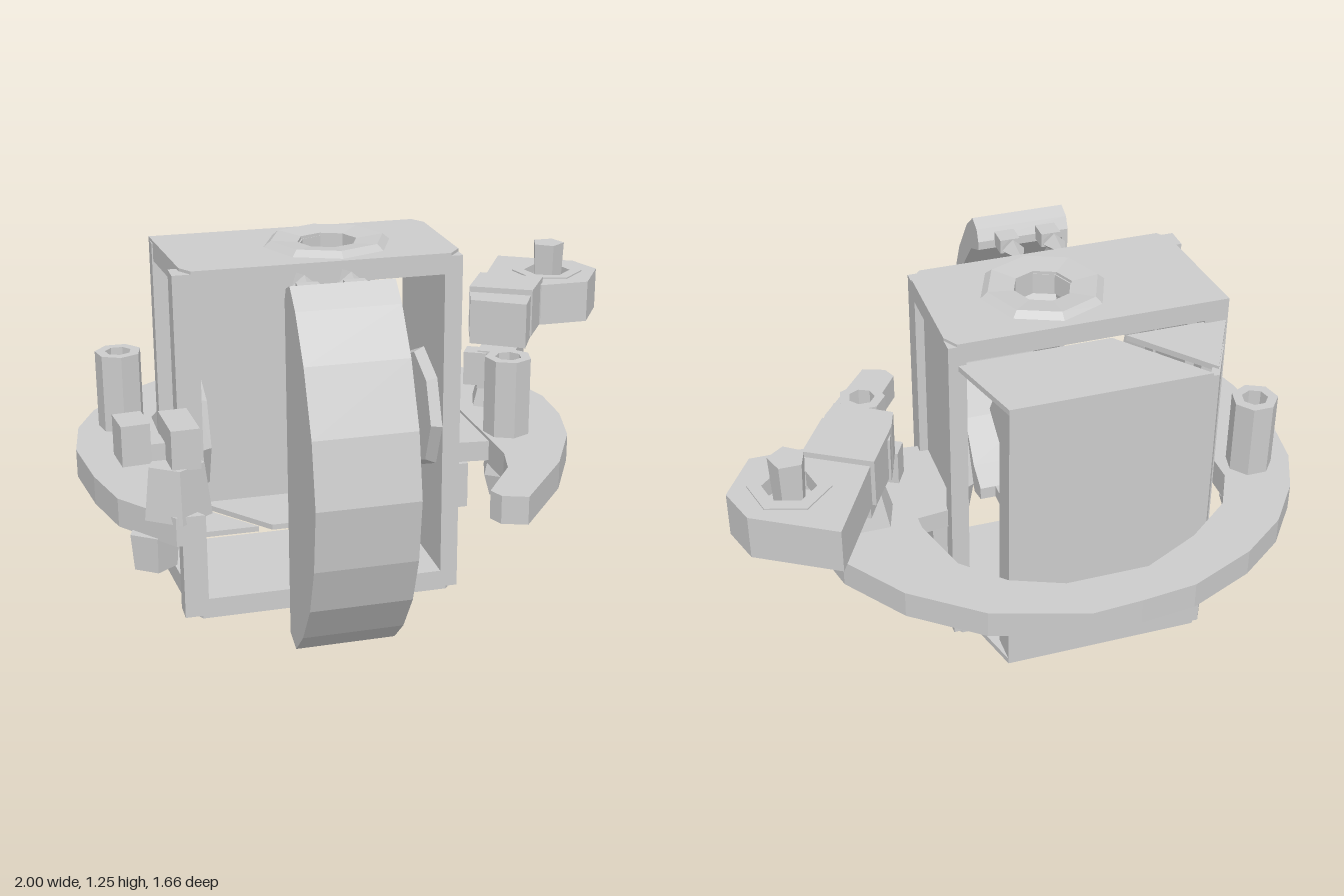
import * as THREE from 'three';

const grey = new THREE.MeshStandardMaterial({ color: 0xcccccc, flatShading: true, side: THREE.DoubleSide });

export function createModel() {
  const root = new THREE.Group();

  function add(name, geo, x = 0, y = 0, z = 0, rx = 0, ry = 0, rz = 0) {
    const m = new THREE.Mesh(geo, grey);
    m.name = name;
    m.position.set(x, y, z);
    m.rotation.set(rx, ry, rz);
    root.add(m);
    return m;
  }
  // Box from its limits
  const block = (name, x0, x1, y0, y1, z0, z1) =>
    add(name, new THREE.BoxGeometry(x1 - x0, y1 - y0, z1 - z0), (x0 + x1) / 2, (y0 + y1) / 2, (z0 + z1) / 2);

  const polygon = (r, n, cx, cz, turn = 0) => Array.from({ length: n }, (_, i) => {
    const a = turn + i / n * Math.PI * 2;
    return [cx + r * Math.cos(a), cz + r * Math.sin(a)];
  });
  // Horizontal plate from an outline of [x, z] pairs
  function plate(name, outline, y0, y1, hole) {
    const toV = ([x, z]) => new THREE.Vector2(x, -z);
    const s = new THREE.Shape(outline.map(toV));
    if (hole) s.holes.push(new THREE.Path(hole.map(toV)));
    const g = new THREE.ExtrudeGeometry(s, { depth: y1 - y0, bevelEnabled: false });
    g.rotateX(-Math.PI / 2);
    return add(name, g, 0, y0, 0);
  }
  // Upright slab from an outline of [z, y] pairs, between two x limits
  function slab(name, outline, x0, x1) {
    const s = new THREE.Shape(outline.map(([z, y]) => new THREE.Vector2(z, y)));
    const g = new THREE.ExtrudeGeometry(s, { depth: x1 - x0, bevelEnabled: false });
    g.rotateY(-Math.PI / 2);
    return add(name, g, x1, 0, 0);
  }

  // Housing: end plates with a tapered collar round an opening
  const hole = polygon(0.1, 8, -0.14, 0.015);
  const deck = [[-0.7, -0.23], [0.22, -0.23], [0.25, -0.18], [0.25, 0.2], [0.21, 0.25], [-0.64, 0.25], [-0.67, 0.2]];
  plate('topPlate', deck, 1.16, 1.23, hole);
  plate('bottomPlate', deck, 0.03, 0.1, hole);
  const collar = [[0.22, 0.6], [0.19, 0.625], [0.1, 0.615], [0.1, 0.53]].map(p => new THREE.Vector2(...p));
  for (const turn of [0, Math.PI])
    add('collar', new THREE.LatheGeometry(collar, 8), -0.145, 0.625, 0.015, turn);

  // Corner posts, side walls and side ledges
  for (const [z0, z1] of [[0.17, 0.25], [-0.23, -0.17]]) {
    block('cornerPost', -0.7, -0.62, 0.04, 1.22, z0, z1);
    block('cornerPost', 0.19, 0.25, 0.04, 1.22, z0, z1);
  }
  block('leftWall', 0.19, 0.22, 0.09, 1.17, -0.2, 0.22);
  block('rightWall', -0.66, -0.63, 0.09, 1.17, -0.08, 0.22);
  block('leftLedge', 0.22, 0.3, 0.31, 0.47, -0.17, 0.2);
  block('rightLedge', -0.74, -0.65, 0.31, 0.47, -0.06, 0.2);
  for (const x of [0.175, -0.61])
    add('sideDisc', new THREE.CylinderGeometry(0.2, 0.22, 0.04, 8), x, 0.63, 0.03, 0, 0, x > 0 ? Math.PI / 2 : -Math.PI / 2);

  // Rear shell: back wall with short flanks, open towards the posts
  const rear = [[0.14, -0.51], [-0.55, -0.51], [-0.635, -0.35], [-0.615, -0.34], [-0.53, -0.49], [0.12, -0.49], [0.12, -0.41], [0.14, -0.41]];
  plate('rearShell', rear, 0.12, 1.14);
  for (const y of [0.11, 1.13]) {
    plate('rearCover', [[-0.53, -0.51], [0.14, -0.51], [0.22, -0.22], [-0.3, -0.22]], y, y + 0.02);
    plate('rearCoverCorner', [[-0.56, -0.48], [-0.7, -0.22], [-0.35, -0.22]], y, y + 0.02);
  }

  // Bowed front guard and its side web
  const outer = [[0.46, 1.18], [0.48, 1.22], [0.53, 1.24], [0.6, 1.18], [0.7, 1.04], [0.79, 0.84], [0.83, 0.63],
    [0.8, 0.42], [0.74, 0.26], [0.64, 0.12], [0.54, 0.03], [0.46, 0.05]];
  const inner = [[0.46, 0.1], [0.55, 0.15], [0.66, 0.3], [0.75, 0.45], [0.78, 0.63], [0.75, 0.82], [0.66, 0.98], [0.55, 1.11], [0.46, 1.15]];
  slab('frontGuard', [...outer, ...inner], -0.39, -0.06);
  slab('guardWeb', outer, -0.39, -0.37);
  for (const s of [1, -1]) {
    add('guardSpoke', new THREE.BoxGeometry(0.2, 0.17, 0.15), -0.25, 0.63 + s * 0.25, 0.52, s * 0.55);
    for (const x of [-0.305, -0.155]) {
      add('guardBracket', new THREE.OctahedronGeometry(1), x, 0.63 + s * 0.56, 0.36, s * 0.12).scale.set(0.04, 0.035, 0.11);
      add('bracketFoot', new THREE.BoxGeometry(0.07, 0.05, 0.07), x, 0.63 + s * 0.555, 0.43);
    }
  }

  // Open ring round the housing, with a bridge to its side
  plate('ring', [[-0.68, 0.6], [-0.77, 0.6], [-0.92, 0.4], [-0.97, 0.2], [-1, -0.05], [-0.97, -0.26], [-0.9, -0.42], [-0.78, -0.58],
    [-0.62, -0.7], [-0.39, -0.8], [-0.2, -0.82], [-0.03, -0.83], [0.28, -0.73], [0.5, -0.56], [0.65, -0.35], [0.7, -0.14],
    [0.69, 0.05], [0.64, 0.25], [0.52, 0.48], [0.32, 0.73], [0.24, 0.7], [0.22, 0.65], [0.34, 0.48], [0.37, 0.36], [0.36, -0.26],
    [0.3, -0.47], [0.17, -0.6], [0, -0.67], [-0.28, -0.67], [-0.48, -0.57], [-0.64, -0.44], [-0.71, -0.3], [-0.71, 0.05],
    [-0.77, 0.25], [-0.77, 0.45]], 0.465, 0.56);
  plate('ringBridge', [[0.22, -0.18], [0.4, -0.2], [0.4, 0.22], [0.22, 0.2]], 0.48, 0.55);
  block('ringTab', -0.74, -0.64, 0.48, 0.55, -0.15, 0.15);

  // Hollow posts standing in the ring, with nuts below
  const tube = [[0.045, 0.7], [0.045, 0.83], [0.08, 0.83], [0.08, 0.5]].map(p => new THREE.Vector2(...p));
  for (const [x, z] of [[0.45, 0.16], [-0.82, -0.25]]) {
    add('ringPost', new THREE.LatheGeometry(tube, 7), x, 0, z);
    add('postSocket', new THREE.CylinderGeometry(0.045, 0.045, 0.02, 7), x, 0.7, z);
    add('postNut', new THREE.CylinderGeometry(0.075, 0.09, 0.06, 5), x, 0.445, z);
    add('postNutTip', new THREE.CylinderGeometry(0.09, 0.065, 0.08, 5), x, 0.375, z);
  }

  // Clamp on the end of the ring
  add('clampBlock', new THREE.BoxGeometry(0.09, 0.13, 0.12), -0.87, 0.765, 0.43, 0, 0.1, 0);
  add('clampBlock', new THREE.BoxGeometry(0.09, 0.13, 0.19), -0.73, 0.765, 0.475, 0, 0.05, 0);
  add('clampBridge', new THREE.BoxGeometry(0.16, 0.06, 0.08), -0.8, 0.73, 0.44);
  add('clampBody', new THREE.CylinderGeometry(0.09, 0.11, 0.17, 5), -0.75, 0.62, 0.5);
  add('clampNut', new THREE.CylinderGeometry(0.08, 0.07, 0.12, 5), -0.82, 0.41, 0.46);

  // Arm: knuckle, forearm and ring-shaped hook
  add('armFoot', new THREE.CylinderGeometry(0.07, 0.11, 0.14, 5), 0.52, 0.61, -0.14);
  add('armKnuckle', new THREE.BoxGeometry(0.13, 0.14, 0.24), 0.53, 0.715, -0.13, 0, -0.5, 0);
  add('armPin', new THREE.BoxGeometry(0.08, 0.12, 0.07), 0.42, 0.72, -0.08, 0, -0.5, 0);
  plate('forearm', [[0.41, -0.13], [0.58, -0.02], [0.66, -0.17], [0.46, -0.28]], 0.79, 0.95);
  plate('forearm', [[0.44, -0.23], [0.64, -0.12], [0.74, -0.28], [0.54, -0.4]], 0.8, 0.97);
  plate('hook', [[0.55, -0.39], [0.71, -0.68], [0.96, -0.53], [1, -0.4], [0.9, -0.24], [0.72, -0.24], [0.66, -0.3]],
    0.8, 0.95, polygon(0.12, 6, 0.81, -0.42, 0.3));
  plate('hookCollar', polygon(0.13, 6, 0.81, -0.42, 0.3), 0.9, 0.955, polygon(0.085, 6, 0.81, -0.42, 0.3));
  add('hookPin', new THREE.CylinderGeometry(0.06, 0.05, 0.21, 5), 0.81, 0.955, -0.42);
  add('hookPinBase', new THREE.CylinderGeometry(0.1, 0.07, 0.06, 6), 0.81, 0.85, -0.42);

  return root;
}
